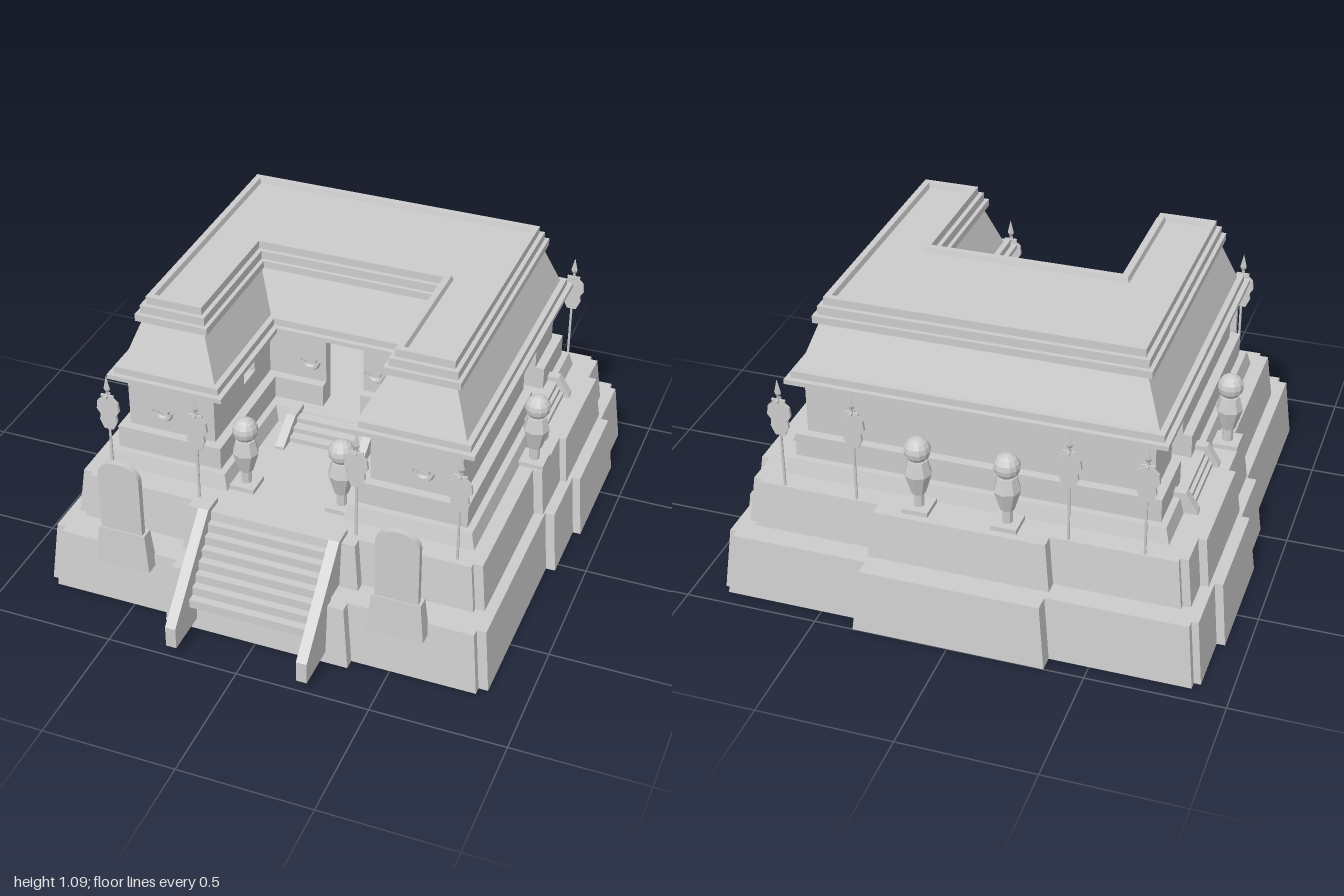
import * as THREE from 'three';

const mat = new THREE.MeshStandardMaterial({ color: 0xcccccc, flatShading: true, side: THREE.DoubleSide });
const HALF_PI = Math.PI / 2;

function add(parent, name, geo, x = 0, y = 0, z = 0) {
  const m = new THREE.Mesh(geo, mat);
  m.name = name;
  m.position.set(x, y, z);
  parent.add(m);
  return m;
}
const box = (p, name, w, h, d, x, y, z) => add(p, name, new THREE.BoxGeometry(w, h, d), x, y, z);

// Mirror a right half outline (front to back, [x, z]) into a closed outline
const mirror = half => [...half, ...half.map(([x, z]) => [-x, z]).reverse()];

// Push every edge of a right-angled outline outward by d
function offset(poly, d) {
  const n = poly.length;
  const normal = i => {
    const a = poly[i], b = poly[(i + 1) % n];
    return [-Math.sign(b[1] - a[1]), Math.sign(b[0] - a[0])];
  };
  return poly.map(([x, z], i) => {
    const p = normal((i + n - 1) % n), q = normal(i);
    // collinear neighbours share one normal
    const same = p[0] === q[0] && p[1] === q[1];
    return [x + d * (same ? p[0] : p[0] + q[0]), z + d * (same ? p[1] : p[1] + q[1])];
  });
}

// Stack offset outlines, rings = [[y, offset], ...], with a top and optional bottom face
function stack(poly, rings, bottom = false) {
  const pos = [], n = poly.length;
  const loops = rings.map(([y, d]) => offset(poly, d).map(([x, z]) => [x, y, z]));
  for (let k = 0; k + 1 < loops.length; k++)
    for (let i = 0; i < n; i++) {
      const j = (i + 1) % n, lo = loops[k], hi = loops[k + 1];
      for (const v of [lo[i], lo[j], hi[j], lo[i], hi[j], hi[i]]) pos.push(...v);
    }
  const cap = (loop, up) => {
    const flat = loop.map(v => new THREE.Vector2(v[0], v[2]));
    for (const t of THREE.ShapeUtils.triangulateShape(flat, [])) {
      const [a, b, c] = t.map(i => loop[i]);
      const ny = (b[2] - a[2]) * (c[0] - a[0]) - (b[0] - a[0]) * (c[2] - a[2]);
      for (const v of (ny > 0) === up ? [a, b, c] : [a, c, b]) pos.push(...v);
    }
  };
  cap(loops[loops.length - 1], true);
  if (bottom) cap(loops[0], false);
  const g = new THREE.BufferGeometry();
  g.setAttribute('position', new THREE.Float32BufferAttribute(pos, 3));
  g.computeVertexNormals();
  return g;
}

const shapeOf = pts => new THREE.Shape(pts.map(p => new THREE.Vector2(...p)));
const extrude = (shape, depth) =>
  new THREE.ExtrudeGeometry(shape, { depth, bevelEnabled: false, curveSegments: 8 });

// Side profile [z, y] extruded across x, centred on x = 0
const acrossX = (pts, w) => extrude(shapeOf(pts), w).rotateY(-HALF_PI).translate(w / 2, 0, 0);

// Upright wall facing the direction rot, with an optional doorway and window
function wall(p, name, [u0, u1], dist, rot, y0, y1, door, win) {
  const notch = door ? [[door[0], y0], [door[0], y1 + 0.001], [door[1], y1 + 0.001], [door[1], y0]] : null;
  const pieces = notch ? [[u0, door[0]], [door[1], u1]] : [[u0, u1]];
  for (const [a, b] of pieces) {
    const s = shapeOf([[a, y0], [b, y0], [b, y1], [a, y1]]);
    if (win && win[0] > a && win[1] < b)
      s.holes.push(new THREE.Path([[win[0], 0.655], [win[0], 0.705], [win[1], 0.705], [win[1], 0.655]]
        .map(q => new THREE.Vector2(...q))));
    add(p, name, extrude(s, 0.045).translate(0, 0, dist - 0.045).rotateY(rot));
  }
}
// A wall together with its projecting plinth
function wallWithPlinth(p, name, [a, b], dist, rot, door, win) {
  wall(p, name, [a, b], dist, rot, 0.48, 0.79, door, win);
  wall(p, name + 'Plinth', [a - 0.035, b + 0.035], dist + 0.035, rot, 0.48, 0.57, door);
}

// Low stair with two sloping cheeks, rising toward -z
function smallStair(p, name, run, width, x, z, rot) {
  const g = new THREE.Group();
  g.name = name;
  for (let i = 0; i < 3; i++) {
    const d = run * 0.65 * (1 - i / 3);
    box(g, 'step', width, 0.02 * (i + 1), d, 0, 0.42 + 0.01 * (i + 1), d / 2);
  }
  const profile = [[-0.03, 0.42], [run, 0.42], [run, 0.43], [run * 0.3, 0.5], [-0.03, 0.5]];
  for (const s of [-1, 1]) add(g, 'stairCheek', acrossX(profile, 0.035), s * width / 2);
  g.position.set(x, 0, z);
  g.rotation.y = rot;
  p.add(g);
}

function brazier(p, x, z) {
  const g = new THREE.Group();
  g.name = 'brazier';
  box(g, 'brazierFoot', 0.095, 0.018, 0.095, 0, 0.009, 0);
  const profile = [[0.02, 0.015], [0.02, 0.07], [0.026, 0.07], [0.05, 0.15], [0.036, 0.205], [0, 0.205]];
  add(g, 'brazierBowl', new THREE.LatheGeometry(profile.map(q => new THREE.Vector2(...q)), 8));
  add(g, 'brazierBall', new THREE.SphereGeometry(0.048, 12, 8), 0, 0.245, 0);
  g.position.set(x, 0.42, z);
  p.add(g);
}

function standard(p, x, z) {
  const g = new THREE.Group();
  g.name = 'spearStandard';
  add(g, 'pole', new THREE.CylinderGeometry(0.005, 0.005, 0.38, 6), 0, 0.19, 0);
  add(g, 'spearTip', new THREE.ConeGeometry(0.013, 0.055, 4), 0, 0.413, 0);
  add(g, 'spearCollar', new THREE.ConeGeometry(0.013, 0.025, 4).rotateX(Math.PI), 0, 0.373, 0);
  box(g, 'crossbar', 0.05, 0.008, 0.008, 0, 0.355, 0);
  box(g, 'crossbar', 0.008, 0.008, 0.035, 0, 0.355, 0);
  const half = [[0.018, 0.215], [0.034, 0.25], [0.03, 0.275], [0.044, 0.295], [0.04, 0.33], [0.015, 0.352]];
  const outline = [...half, ...half.map(([a, b]) => [-a, b]).reverse()];
  add(g, 'shield', extrude(shapeOf(outline), 0.012), 0, 0, -0.006);
  g.position.set(x, 0.42, z);
  p.add(g);
}

function stela(p, x) {
  const base = acrossX([[0.755, 0.195], [0.82, 0.195], [0.812, 0.35], [0.765, 0.35]], 0.21);
  const pos = base.attributes.position;
  for (let i = 0; i < pos.count; i++) if (pos.getY(i) > 0.3) pos.setX(i, pos.getX(i) * 0.86);
  base.computeVertexNormals();
  add(p, 'stelaBase', base, x);
  const s = new THREE.Shape();
  s.moveTo(-0.08, 0.34);
  s.lineTo(0.08, 0.34);
  s.lineTo(0.08, 0.585);
  s.absellipse(0, 0.585, 0.08, 0.058, 0, Math.PI, false);
  add(p, 'stelaSlab', extrude(s, 0.025), x, 0, 0.783);
}

export function createModel() {
  const g = new THREE.Group();
  g.name = 'temple';

  // Stepped platform, hollow underneath
  const lower = mirror([[0.355, 0.83], [0.355, 0.79], [0.82, 0.79], [0.82, 0.76], [0.855, 0.76], [0.855, 0.04],
    [0.89, 0.04], [0.89, -0.21], [0.92, -0.21], [0.92, -0.68], [0.89, -0.68], [0.89, -0.91], [0.865, -0.91],
    [0.865, -0.94], [0.355, -0.94], [0.355, -1]]);
  const upper = mirror([[0.34, 0.69], [0.34, 0.65], [0.755, 0.65], [0.755, 0.63], [0.79, 0.63], [0.79, 0.03],
    [0.825, 0.03], [0.825, -0.2], [0.85, -0.2], [0.85, -0.68], [0.82, -0.68], [0.82, -0.81], [0.79, -0.81],
    [0.79, -0.83], [0.335, -0.83], [0.335, -0.88]]);
  add(g, 'lowerTerrace', stack(lower, [[0, 0], [0.24, -0.025]]));
  add(g, 'upperTerrace', stack(upper, [[0.24, 0], [0.42, -0.02]]));

  // U-shaped building: floor slab, cornice, sloping roof, bands and sunken roof deck
  const uPlan = zi => mirror([[0.3, zi], [0.3, 0.465], [0.64, 0.465], [0.64, -0.655]]);
  add(g, 'floorSlab', stack(uPlan(-0.015), [[0.42, 0.075], [0.48, 0.06]]));
  add(g, 'roof', stack(uPlan(-0.045), [[0.785, 0.055], [0.803, 0.055], [0.803, 0.035], [0.83, 0.035],
    [0.83, 0.013], [1.0, -0.05], [1.0, -0.03], [1.028, -0.03], [1.028, -0.045], [1.06, -0.045],
    [1.06, -0.062], [1.09, -0.062], [1.09, -0.085], [1.07, -0.09]], true));

  // Walls with doorways and windows, mirrored left and right
  for (const s of [1, -1]) {
    const span = (a, b) => (s > 0 ? [-b, -a] : [a, b]);
    const flip = (a, b) => (s > 0 ? [a, b] : [-b, -a]);
    wallWithPlinth(g, 'sideWall', span(-0.655, 0.465), 0.64, s * HALF_PI, span(-0.43, -0.27), span(0.1, 0.2));
    wallWithPlinth(g, 'courtSideWall', flip(-0.045, 0.465), -0.3, -s * HALF_PI, null, flip(0.1, 0.2));
    wallWithPlinth(g, 'wingFrontWall', flip(0.3, 0.64), 0.465, 0);
    smallStair(g, 'sideStair', 0.065, 0.31, s * 0.7, -0.355, s * HALF_PI);
    // Curved wall ornaments
    for (const [x, z] of [[0.5, 0.475], [0.13, -0.035]])
      add(g, 'wallHook', new THREE.TorusGeometry(0.03, 0.012, 6, 10, Math.PI).rotateX(Math.PI), s * x, 0.66, z);
  }
  wallWithPlinth(g, 'backWall', [-0.64, 0.64], 0.655, Math.PI);
  wallWithPlinth(g, 'courtBackWall', [-0.3, 0.3], -0.045, 0, [-0.07, 0.08]);
  smallStair(g, 'courtStair', 0.17, 0.31, 0.005, 0.06, 0);

  // Main front stair between sloping cheeks
  for (let i = 0; i < 8; i++) {
    const front = 0.88 - 0.03 * i, h = 0.035 * (i + 1);
    box(g, 'frontStep', 0.47, h, front - 0.62, 0, 0.14 + h / 2, (front + 0.62) / 2);
  }
  const cheek = [[0.61, 0.25], [0.77, 0.25], [0.77, 0.045], [1, 0.045], [1, 0.13], [0.69, 0.44], [0.61, 0.44]];
  for (const s of [-1, 1]) add(g, 'frontStairCheek', acrossX(cheek, 0.04), s * 0.25);

  // Objects standing on the terraces
  for (const [x, z] of [[-0.175, 0.475], [0.195, 0.475], [-0.155, -0.785], [0.17, -0.785], [-0.758, -0.045], [0.758, -0.045]])
    brazier(g, x, z);
  for (const x of [-0.65, -0.305, 0.3, 0.675]) standard(g, x, 0.605);
  for (const x of [-0.65, -0.38, 0.4, 0.675]) standard(g, x, -0.8);
  for (const x of [-0.52, 0.525]) stela(g, x);
  return g;
}
